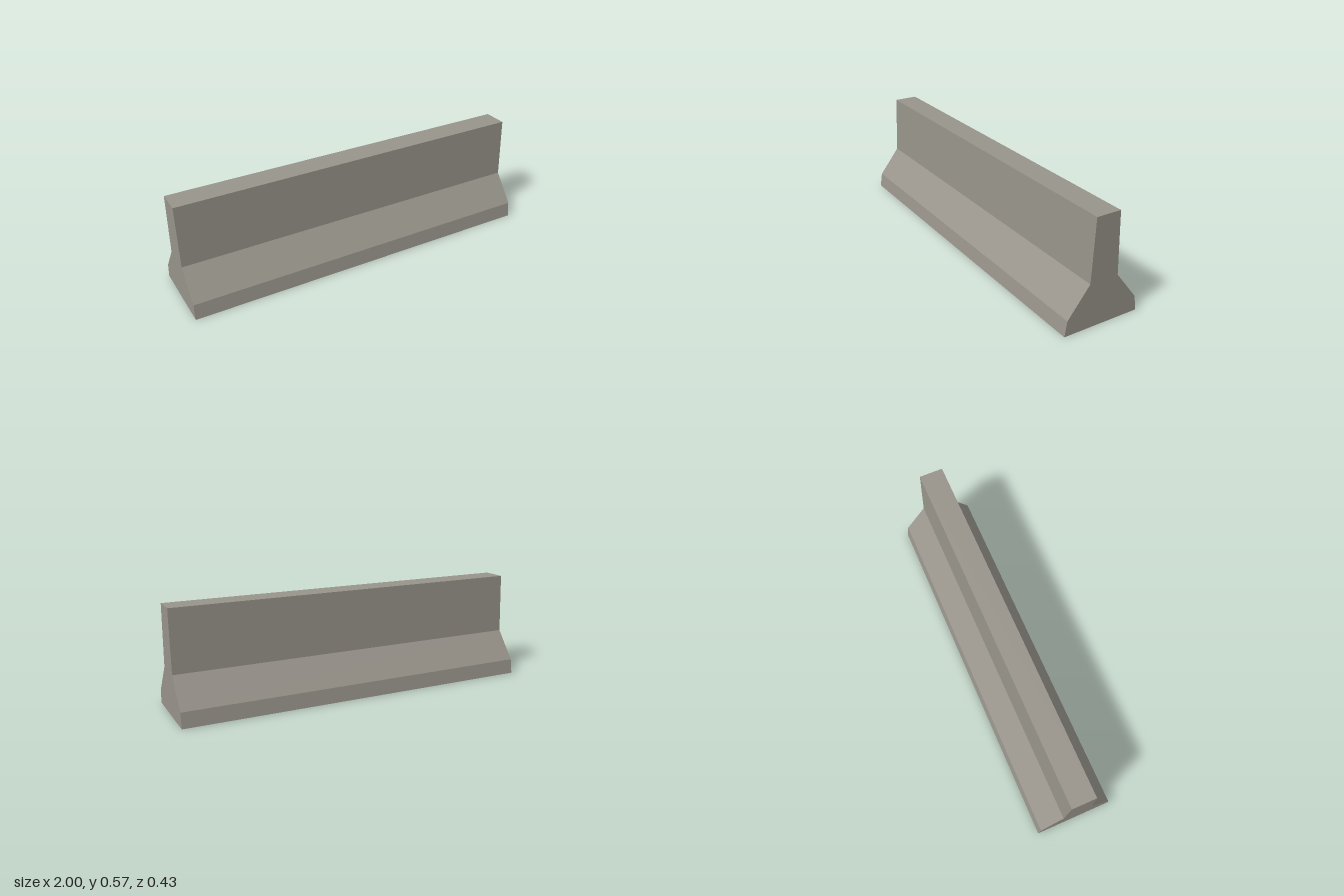
import * as THREE from 'three';

export function createModel() {
  const group = new THREE.Group();
  group.name = 'roadBarrier';

  const concrete = new THREE.MeshStandardMaterial({ color: 0x98948b });
  concrete.name = 'concrete';

  // Half profile from foot to top: [half width, height]
  const half = [[0.213, 0], [0.2, 0.081], [0.08, 0.235], [0.067, 0.567]];
  const mirrored = half.map(([w, h]) => [-w, h]).reverse();
  const profile = new THREE.Shape([...half, ...mirrored].map(([w, h]) => new THREE.Vector2(w, h)));

  // Barrier body: the profile swept along x
  const length = 2;
  const geometry = new THREE.ExtrudeGeometry(profile, { depth: length, bevelEnabled: false });
  geometry.translate(0, 0, -length / 2);
  geometry.rotateY(Math.PI / 2);

  const body = new THREE.Mesh(geometry, concrete);
  body.name = 'barrierBody';
  group.add(body);
  return group;
}
